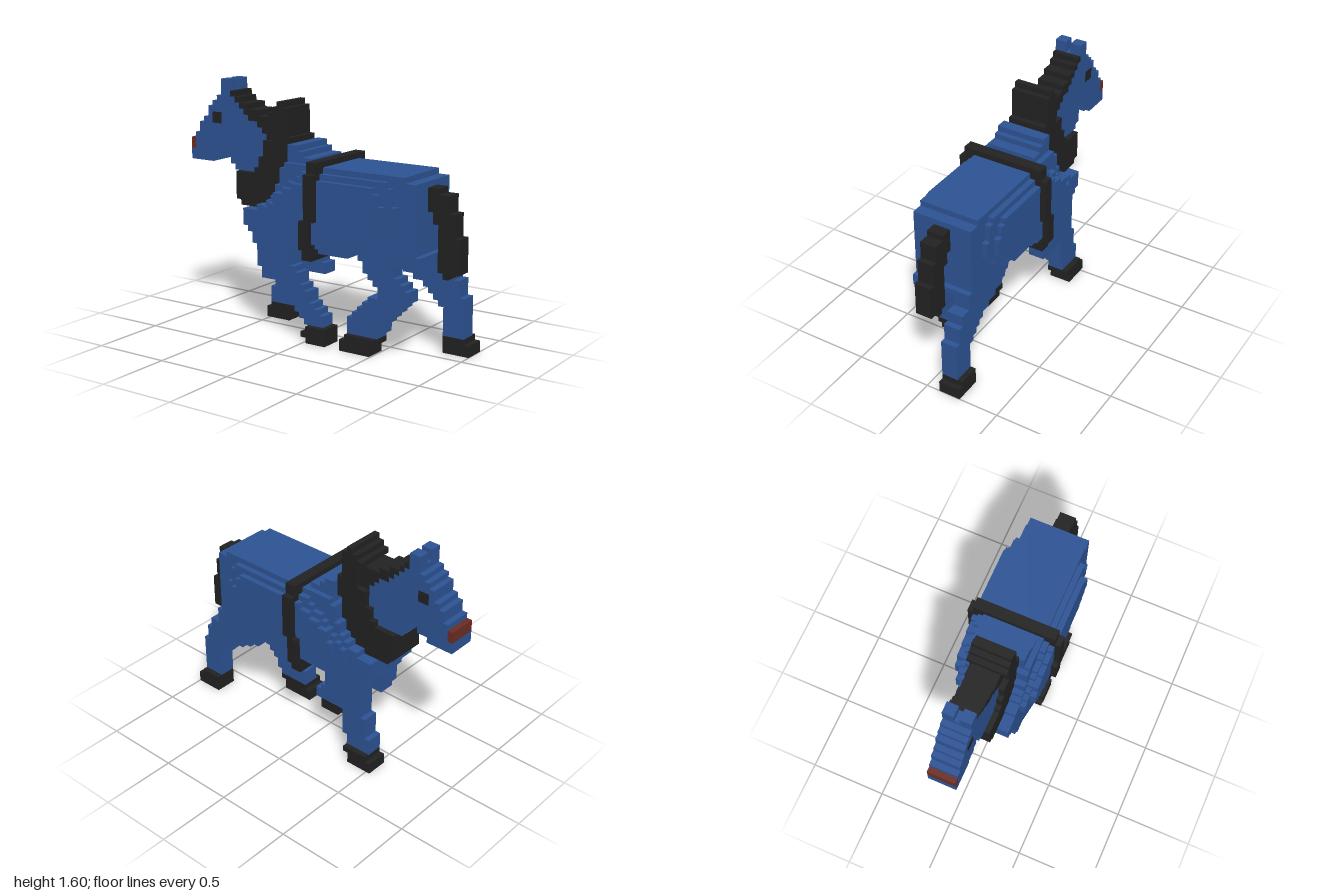
import * as THREE from 'three';
import { mergeGeometries } from 'three/addons/utils/BufferGeometryUtils.js';

// The horse is built on a grid of cubes: 55 long, 44 high.
const U = 2 / 55;

const coat = new THREE.MeshStandardMaterial({ color: 0x2d5394 });
coat.name = 'blue coat';
const black = new THREE.MeshStandardMaterial({ color: 0x222222 });
black.name = 'black';
const muzzleRed = new THREE.MeshStandardMaterial({ color: 0x6b2c24 });
muzzleRed.name = 'muzzle red';

// One block given by its limits in grid units (x counts from the muzzle).
function block(x0, x1, y0, y1, z0, z1) {
  const g = new THREE.BoxGeometry((x1 - x0) * U, (y1 - y0) * U, (z1 - z0) * U);
  return g.translate(((x0 + x1) / 2 - 27.5) * U, ((y0 + y1) / 2) * U, ((z0 + z1) / 2) * U);
}

// Stacks rows upward from y; each row is [height, xStart, xEnd].
function stack(y, rows, z0, z1) {
  const blocks = [];
  for (const [h, x0, x1] of rows) {
    blocks.push(block(x0, x1, y, y + h, z0, z1));
    y += h;
  }
  return blocks;
}

export function createModel() {
  const model = new THREE.Group();
  model.name = 'horse';

  function add(name, material, blocks) {
    const mesh = new THREE.Mesh(mergeGeometries(blocks), material);
    mesh.name = name;
    model.add(mesh);
  }
  const wide = (y, rows, half) => stack(y, rows, -half, half);

  // Body core, with two stepped layers for the rounded flanks
  add('body', coat, [
    ...wide(16, [[1, 16, 36]], 5.5),
    ...wide(17, [
      [1, 16, 50], [1, 15, 49], [3, 14, 49], [1, 17, 49], [1, 19, 49], [1, 20, 49],
      [2, 21, 49], [3, 22, 49], [1, 23, 47],
    ], 5.5),
  ]);
  add('flanks', coat, wide(17, [
    [1, 23, 32], [1, 22, 38], [1, 20, 41], [1, 19, 43], [1, 19, 44], [1, 19, 45],
    [1, 20, 46], [1, 21, 46], [1, 22, 46], [1, 23, 45], [1, 24, 45], [1, 26, 45], [1, 27, 44],
  ], 6.5));
  add('ribs', coat, wide(18, [
    [1, 25, 32], [1, 23, 37], [1, 22, 41], [1, 21, 42], [1, 21, 43], [1, 21, 44],
    [2, 22, 44], [1, 24, 43], [1, 26, 43], [1, 28, 42],
  ], 7.5));
  add('withers', coat, wide(31, [[1, 23, 28], [1, 23, 26], [1, 23, 25]], 4.5));

  // Head with lower jaw behind the mouth gap
  add('head', coat, [
    ...wide(29, [
      [1, 0, 5], [1, 0, 7], [1, 1, 8], [1, 1, 17], [1, 1, 17], [1, 2, 17], [1, 2, 16],
      [1, 3, 15], [1, 4, 13], [1, 4, 12], [1, 5, 11], [1, 6, 10], [1, 7, 9],
    ], 2.5),
    ...wide(28, [[1, 10, 15], [2, 9, 16], [1, 9, 17]], 2.5),
  ]);
  add('muzzle', muzzleRed, wide(31, [[2, 0, 1]], 2.5));

  // Mane and collar
  add('mane', black, wide(34, [
    [1, 17, 19], [1, 16, 19], [1, 15, 19], [1, 13, 19], [1, 12, 15],
    [1, 11, 13], [1, 10, 11], [1, 9, 10],
  ], 2.5));
  add('collar', black, wide(22, [
    [1, 12, 17], [1, 11, 19], [1, 11, 20], [2, 11, 21], [1, 11, 22], [1, 15, 22],
    [2, 16, 22], [3, 17, 23], [1, 19, 23], [3, 19, 22], [1, 18, 22], [1, 19, 22], [1, 20, 21],
  ], 3.5));

  // Girth strap around the body
  add('girthStrap', black, [
    ...wide(15, [[2, 28, 30]], 7.5),
    ...wide(17, [[5, 28, 30], [8, 29, 31]], 8.5),
    ...wide(30, [[2, 29, 31]], 7.5),
  ]);

  add('tail', black, wide(14, [
    [1, 52, 53], [6, 51, 55], [2, 51, 54], [2, 50, 54], [3, 49, 53], [1, 49, 51],
  ], 1.5));

  // Ears and eyes on both sides
  for (const [side, s] of [['left', 1], ['right', -1]]) {
    const span = (a, b) => (s > 0 ? [a, b] : [-b, -a]);
    add(side + 'Ear', coat, [block(7, 9, 42, 44, ...span(0.5, 2.5))]);
    add(side + 'Eye', black, [block(5, 7, 36, 38, ...span(2.45, 2.6))]);
  }

  // Walking legs: side, rows from the hoof up, hoof rows from the ground up
  const legs = [
    ['nearFront', 1,
      [[1, 27, 31], [1, 26, 31], [1, 25, 30], [1, 24, 29], [1, 23, 28], [1, 22, 28], [1, 21, 27],
        [2, 18, 26], [1, 17, 25], [3, 17, 24], [2, 16, 24]],
      [[1, 28, 32], [1, 27, 32], [1, 28, 32]]],
    ['farFront', -1,
      [[2, 14, 19], [1, 14, 20], [4, 15, 20], [2, 16, 26], [1, 16, 25], [5, 16, 24]],
      [[2, 13, 18], [1, 14, 19]]],
    ['nearRear', 1,
      [[1, 36, 42], [2, 36, 43], [1, 37, 44], [1, 38, 45], [1, 39, 46], [1, 40, 47], [2, 42, 48],
        [1, 41, 47], [1, 40, 46], [2, 39, 45], [1, 38, 50]],
      [[2, 35, 41], [1, 36, 42]]],
    ['farRear', -1,
      [[5, 50, 54], [1, 49, 54], [1, 48, 54], [1, 47, 53], [1, 46, 53], [1, 44, 53], [1, 42, 52],
        [1, 40, 52], [1, 39, 50], [1, 38, 50]],
      [[2, 50, 55], [1, 50, 54]]],
  ];
  for (const [name, s, leg, hoof] of legs) {
    add(name + 'Leg', coat, stack(3, leg, s > 0 ? 2.5 : -5.5, s > 0 ? 5.5 : -2.5));
    add(name + 'Hoof', black, stack(0, hoof, s > 0 ? 2.5 : -6.5, s > 0 ? 6.5 : -2.5));
  }

  return model;
}
